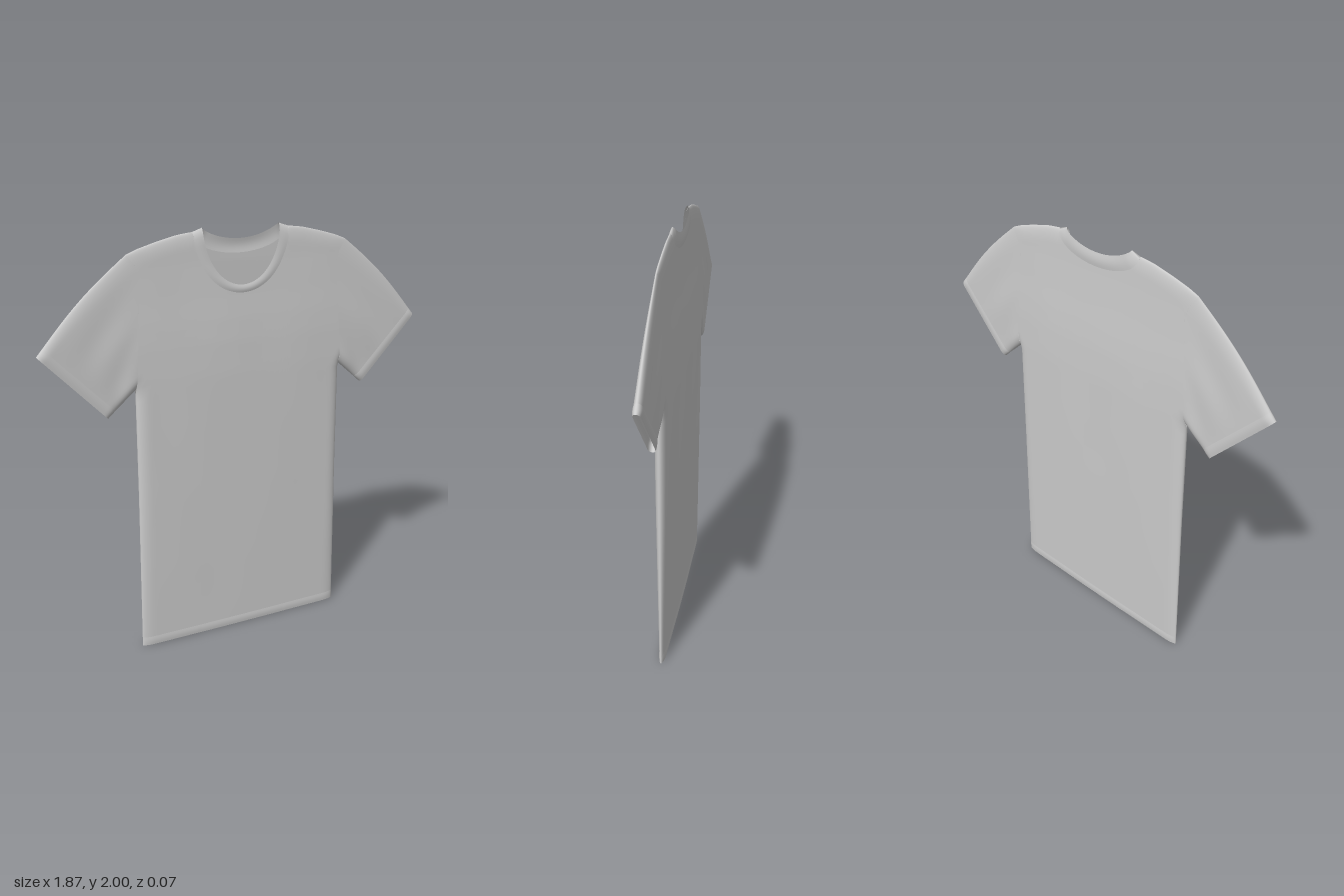
import * as THREE from 'three';
import { mergeVertices } from 'three/addons/utils/BufferGeometryUtils.js';

const HALF = 0.53;        // nominal half width of the body
const NECK = 0.23;        // half width of the collar seam
const ARMPIT = 1.32;
const HEM = 0.045;
const { clamp, lerp, smoothstep } = THREE.MathUtils;

// Straight-line lookup in a short list of [position, value]
function lookup(table, p) {
  for (let i = 1; i < table.length; i++) {
    const [a, va] = table[i - 1], [b, vb] = table[i];
    if (p <= b) return lerp(va, vb, clamp((p - a) / (b - a), 0, 1));
  }
  return table[table.length - 1][1];
}

const bodyWidth = [[0, 0.535], [0.8, 0.52], [ARMPIT, 0.514], [1.6, 0.495], [1.8, 0.48], [1.86, 0.495], [1.91, 0.53]];
const bodyDepth = [[0, 0.018], [0.4, 0.026], [0.8, 0.032], [1.1, 0.035], [1.35, 0.037], [1.5, 0.035],
  [1.6, 0.031], [1.7, 0.025], [1.85, 0.018], [2, 0.014]];
const shoulder = [[0, 2.2], [0.185, 2], [NECK, 1.985], [0.3, 1.977], [0.4, 1.953], [0.48, 1.93], [HALF, 1.91]];

// Rounds the cloth off to a folded edge within distance r
const round = (d, r) => Math.sqrt(1 - (1 - clamp(d / r, 0, 1)) ** 2);

// Point of the body cloth; z is the half depth, the back mirrors it
function cloth(X, y) {
  const a = Math.abs(X);
  const x = X + Math.sign(X) * (lookup(bodyWidth, y) - HALF) * (a / HALF) ** 3;
  const sideGap = HALF - a + Math.max(0, y - ARMPIT);
  const folds = 1 + 0.03 * Math.sin(X * 17 + y * 2) * Math.sin(y * 5 + X * 3);
  const depth = lookup(bodyDepth, y) * folds * (1 - 0.25 * (a / HALF) ** 2);
  return [x, y, depth * round(sideGap, 0.06) * round(lookup(shoulder, a) - y, 0.07)];
}

// Front and back sheets from one rule f(u, v, side), joined where they meet
function shell(name, f, nu, nv, material) {
  const position = [], index = [];
  for (const side of [1, -1]) {
    const base = position.length / 3;
    for (let j = 0; j <= nv; j++) {
      for (let i = 0; i <= nu; i++) {
        const [x, y, z] = f(i / nu, j / nv, side);
        position.push(x, y, z * side);
      }
    }
    for (let j = 0; j < nv; j++) {
      for (let i = 0; i < nu; i++) {
        const a = base + j * (nu + 1) + i, b = a + 1, c = a + nu + 1, d = c + 1;
        if (side > 0) index.push(a, b, d, a, d, c);
        else index.push(a, d, b, a, c, d);
      }
    }
  }
  let geometry = new THREE.BufferGeometry();
  geometry.setAttribute('position', new THREE.Float32BufferAttribute(position, 3));
  geometry.setIndex(index);
  geometry = mergeVertices(geometry, 1e-5);
  geometry.computeVertexNormals();
  const mesh = new THREE.Mesh(geometry, material);
  mesh.name = name;
  return mesh;
}

// Column of the body: u 0..1 runs right to left, closer together at the sides and neck edge
function column(u) {
  const s = u * 2 - 1, a = Math.abs(s);
  if (a <= 0.5) return NECK * Math.sin(s * Math.PI);
  return Math.sign(s) * lerp(NECK, HALF, Math.sin((a - 0.5) * Math.PI));
}

// Collar seam and neck edge at angle t, deeper at the front
function neckSeam(t, side) {
  return [NECK * Math.sin(t), 1.985 - (side > 0 ? 0.275 : 0.105) * Math.cos(t)];
}
function neckEdge(t, side) {
  const c = Math.max(0, Math.cos(t));
  return [0.185 * Math.sin(t), 2 - (side > 0 ? 0.255 * c : 0.057 * c ** 1.6)];
}

function bodyTop(u, side) {
  const s = u * 2 - 1;
  return Math.abs(s) <= 0.5 ? neckSeam(s * Math.PI, side)[1] : lookup(shoulder, Math.abs(column(u)));
}

// Sleeve lines from underarm (v = 0) to top (v = 1)
const armSeam = v => cloth(HALF, lerp(ARMPIT, 1.91, v));
const cuffSeam = v => [lerp(0.61, 0.908, v), lerp(1.237, 1.55, v), 0.018 * round(Math.min(v, 1 - v), 0.09)];
const cuffEdge = v => [lerp(0.645, 0.936, v), lerp(1.205, 1.518, v), 0.016 * round(Math.min(v, 1 - v), 0.07)];

// Spacing that gathers rows toward both ends
const ease = v => (1 - Math.cos(v * Math.PI)) / 2;

export function createModel() {
  const group = new THREE.Group();
  group.name = 'tShirt';
  const material = new THREE.MeshStandardMaterial({ color: 0xcccccc, side: THREE.DoubleSide });
  const add = (name, f, nu, nv) => group.add(shell(name, f, nu, nv, material));

  // Body, open at the hem and neck
  add('body', (u, v, side) =>
    cloth(column(u), lerp(HEM, bodyTop(u, side), Math.sin(v * Math.PI / 2))), 72, 64);

  // Hem band with a slightly raised stitch line
  add('hem', (u, v) => {
    const p = cloth(column(u), v * HEM);
    p[2] *= 1 + 0.12 * Math.sin(v * Math.PI);
    return p;
  }, 72, 4);

  // Ribbed collar band
  add('collar', (u, v, side) => {
    const t = (u - 0.5) * Math.PI;
    const [ax, ay] = neckSeam(t, side), [bx, by] = neckEdge(t, side);
    const p = cloth(lerp(ax, bx, v), lerp(ay, by, v));
    p[2] += 0.004 * Math.sin(v * Math.PI) * Math.cos(t);
    return p;
  }, 48, 6);

  // Sleeves and cuffs, mirrored
  for (const [label, sign] of [['left', 1], ['right', -1]]) {
    const mirrored = f => (u, v) => {
      const [x, y, z] = f(sign > 0 ? u : 1 - u, ease(v));
      return [x * sign, y, z];
    };
    add(label + 'Sleeve', mirrored((u, v) => {
      const a = armSeam(v), b = cuffSeam(v);
      const bulge = 0.012 * v * Math.sin(u * Math.PI);
      const crease = 1 + 0.08 * Math.sin(v * 14 + u * 3) * Math.sin(u * Math.PI);
      return [lerp(a[0], b[0], u) + bulge, lerp(a[1], b[1], u) + bulge,
        lerp(a[2], b[2], smoothstep(u, -0.2, 1.0) * u + u * (1 - u) * 0.5) * crease];
    }), 24, 36);
    add(label + 'Cuff', mirrored((u, v) => {
      const a = cuffSeam(v), b = cuffEdge(v);
      const p = a.map((n, i) => lerp(n, b[i], u));
      p[2] *= 1 + 0.15 * Math.sin(u * Math.PI);
      return p;
    }), 4, 36);
  }
  return group;
}
